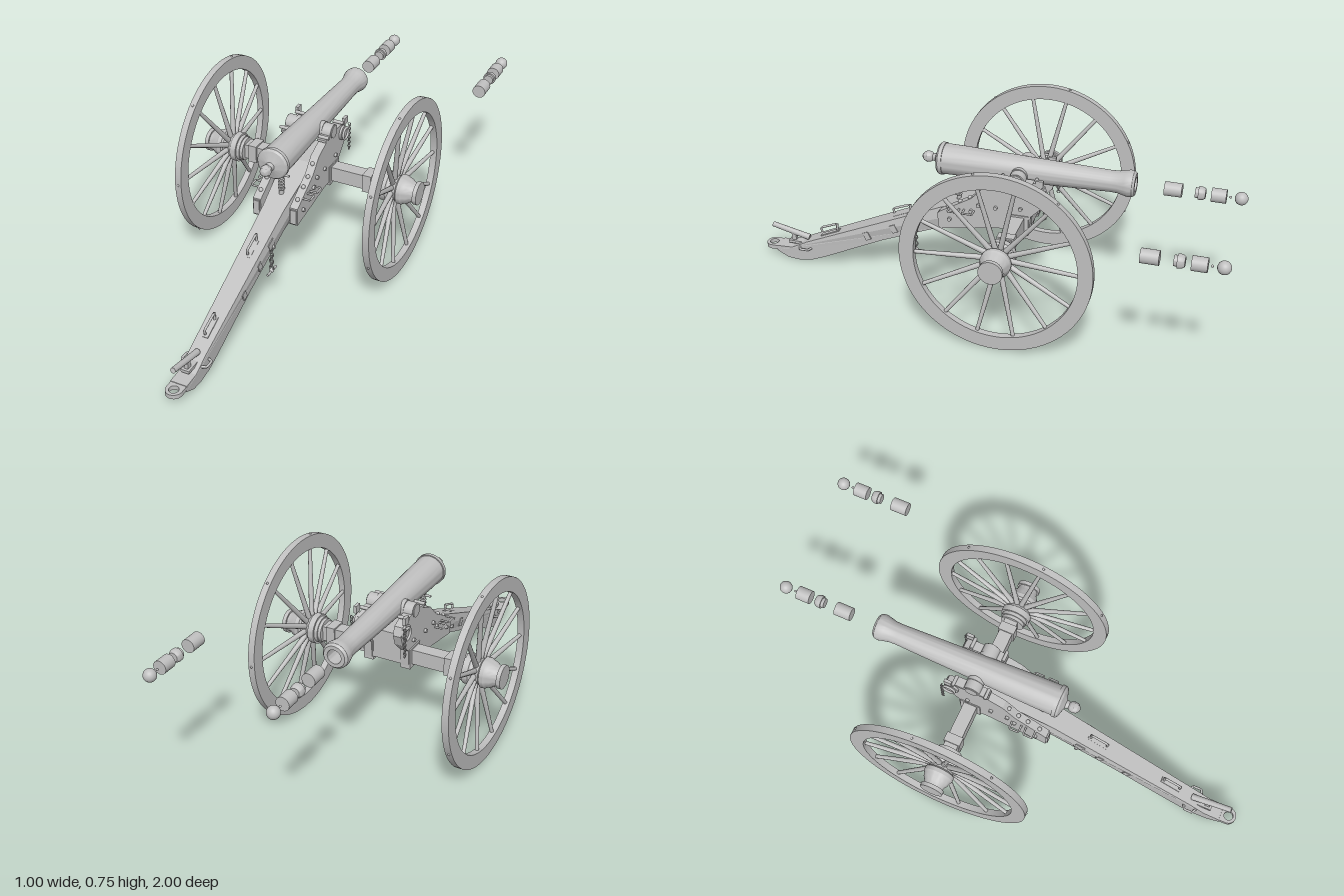
import * as THREE from 'three';
import { toCreasedNormals } from 'three/addons/utils/BufferGeometryUtils.js';

const steel = new THREE.MeshStandardMaterial({ color: 0xc0c0c0 });
steel.name = 'plain grey';
const V = (x, y, z) => new THREE.Vector3(x, y, z);

function add(parent, name, geo, x = 0, y = 0, z = 0) {
  const m = new THREE.Mesh(geo, steel);
  m.name = name;
  m.position.set(x, y, z);
  parent.add(m);
  return m;
}
const box = (w, h, d) => new THREE.BoxGeometry(w, h, d);
const cylX = (r, len, n = 20) => new THREE.CylinderGeometry(r, r, len, n).rotateZ(Math.PI / 2);
const cylZ = (r, len, n = 32) => new THREE.CylinderGeometry(r, r, len, n).rotateX(Math.PI / 2);

// turned part from [radius, position] pairs along the y axis
function turned(pairs, n = 40) {
  const g = new THREE.LatheGeometry(pairs.map(([r, p]) => new THREE.Vector2(r, p)), n);
  return toCreasedNormals(g, 0.5);
}

// tapered round bar between two points
function bar(parent, name, a, b, r0, r1 = r0, n = 10) {
  const m = add(parent, name, new THREE.CylinderGeometry(r1, r0, a.distanceTo(b), n));
  m.position.copy(a).lerp(b, 0.5);
  m.quaternion.setFromUnitVectors(V(0, 1, 0), b.clone().sub(a).normalize());
  return m;
}

// bent round rod through a few points
function rod(parent, name, pts, r) {
  const path = new THREE.CurvePath();
  for (let i = 1; i < pts.length; i++) path.add(new THREE.LineCurve3(V(...pts[i - 1]), V(...pts[i])));
  return add(parent, name, new THREE.TubeGeometry(path, (pts.length - 1) * 6, r, 8));
}

// side outline of [z, y] pairs, given a thickness across x
function slab(outline, width) {
  const s = new THREE.Shape(outline.map(([z, y]) => new THREE.Vector2(z, y)));
  return new THREE.ExtrudeGeometry(s, { depth: width, bevelEnabled: false })
    .translate(0, 0, -width / 2).rotateY(-Math.PI / 2);
}

// chain of alternating links hanging down
function chain(parent, name, x, y, z, count, r) {
  for (let i = 0; i < count; i++) {
    const link = add(parent, name, new THREE.TorusGeometry(r, r * 0.3, 6, 10), x, y - i * r * 1.7, z);
    link.rotation.y = (i % 2) * Math.PI / 2;
  }
}

// dished wheel with its hub; the outer end points along +x
function wheel() {
  const g = new THREE.Group();
  g.name = 'wheel';
  const rim = turned([[0.316, 0.392], [0.373, 0.392], [0.373, 0.419], [0.316, 0.419], [0.316, 0.392]], 80);
  add(g, 'rim', rim.rotateZ(-Math.PI / 2));
  const hub = turned([[0, 0.295], [0.048, 0.295], [0.048, 0.308], [0.053, 0.308], [0.053, 0.322],
    [0.061, 0.322], [0.061, 0.347], [0.056, 0.35], [0.049, 0.362], [0.052, 0.385], [0.06, 0.392],
    [0.06, 0.408], [0.054, 0.418], [0.051, 0.43], [0.042, 0.443], [0.04, 0.457], [0.047, 0.457],
    [0.047, 0.473], [0, 0.473]]);
  add(g, 'hub', hub.rotateZ(-Math.PI / 2));
  const N = 14;
  for (let i = 0; i < N; i++) {
    const a = (i / N) * Math.PI * 2, c = Math.cos(a), s = Math.sin(a);
    bar(g, 'spoke', V(0.368, s * 0.045, c * 0.045), V(0.402, s * 0.32, c * 0.32), 0.011, 0.0075);
    if (i % 2) add(g, 'rimBolt', new THREE.SphereGeometry(0.005, 8, 6), 0.406, s * 0.373, c * 0.373);
  }
  return g;
}

// one cheek of the carriage with its fittings, s = side
function cheek(g, s) {
  const outline = [[0.185, 0.31], [0.185, 0.385], [0.05, 0.465], [0.0, 0.52], [-0.07, 0.55], [-0.2, 0.56],
    [-0.238, 0.545], [-0.25, 0.51], [-0.235, 0.465], [-0.19, 0.42], [-0.185, 0.35], [-0.06, 0.35]];
  add(g, 'cheek', slab(outline, 0.034), s * 0.08);
  add(g, 'cheekEndPlate', box(0.026, 0.062, 0.008), s * 0.08, 0.348, 0.187);
  // cap over the trunnion
  const cap = new THREE.Shape();
  cap.moveTo(-0.2, 0.552).lineTo(-0.06, 0.552).lineTo(-0.06, 0.562).lineTo(-0.09, 0.565);
  cap.absarc(-0.13, 0.565, 0.033, 0, Math.PI, false);
  cap.lineTo(-0.2, 0.565);
  const capGeo = new THREE.ExtrudeGeometry(cap, { depth: 0.038, bevelEnabled: false, curveSegments: 10 });
  add(g, 'trunnionCap', capGeo.translate(0, 0, -0.019).rotateY(-Math.PI / 2), s * 0.08);
  for (const z of [-0.205, -0.07]) add(g, 'capBolt', cylX(0.007, 0.045, 10), s * 0.085, 0.57, z);
  add(g, 'capKey', box(0.012, 0.03, 0.03), s * 0.104, 0.573, -0.225);
  // washers and bolts on the outer face
  add(g, 'washer', cylX(0.03, 0.012, 24), s * 0.1, 0.52, -0.215);
  const ring = add(g, 'sideRing', new THREE.TorusGeometry(0.024, 0.005, 8, 24), s * 0.11, 0.515, -0.222);
  ring.rotation.y = Math.PI / 2;
  for (const [z, y] of [[0.14, 0.36], [0.05, 0.41], [0.02, 0.44], [-0.05, 0.44], [-0.15, 0.45]])
    add(g, 'sideBolt', cylX(0.008, 0.014, 10), s * 0.1, y, z);
  for (const [z, y] of [[0.15, 0.406], [0.1, 0.436], [0.06, 0.46], [0.02, 0.497]])
    add(g, 'topBolt', new THREE.SphereGeometry(0.009, 10, 8), s * 0.08, y, z);
  // loop handles
  for (const z of [0.12, 0.06])
    rod(g, 'sideHandle', [[s * 0.095, 0.41, z - 0.02], [s * 0.128, 0.41, z - 0.02],
      [s * 0.128, 0.41, z + 0.02], [s * 0.095, 0.41, z + 0.02]], 0.004);
  chain(g, 'keyChain', s * 0.113, 0.545, -0.25, 12, 0.006);
  // axle strap and sleeve
  add(g, 'axleStrap', box(0.042, 0.085, 0.085), s * 0.08, 0.378, -0.14);
  add(g, 'axleSleeve', box(0.037, 0.076, 0.068), s * 0.257, 0.381, -0.138);
}

// stack of loose rounds in front of the muzzle
function rounds(x) {
  const g = new THREE.Group();
  g.name = 'rounds';
  g.position.set(x, 0.574, 0);
  add(g, 'charge', cylZ(0.027, 0.067), 0, 0, -0.72);
  const plug = turned([[0, -0.842], [0.018, -0.842], [0.024, -0.834], [0.026, -0.825], [0.026, -0.815],
    [0.02, -0.815], [0.02, -0.803], [0, -0.803]], 32);
  add(g, 'plug', plug.rotateX(Math.PI / 2));
  add(g, 'canister', cylZ(0.027, 0.056), 0, 0, -0.892);
  add(g, 'fuse', new THREE.SphereGeometry(0.005, 10, 8), 0, 0, -0.934);
  add(g, 'ball', new THREE.SphereGeometry(0.025, 32, 20), 0, 0, -0.975);
  return g;
}

export function createModel() {
  const root = new THREE.Group();
  root.name = 'fieldCannon';
  const g = new THREE.Group();
  g.name = 'gun';
  g.position.x = -0.03;
  root.add(g);

  // barrel, bored at the muzzle, with a knob at the breech
  const barrel = turned([[0, -0.3], [0.028, -0.3], [0.028, -0.577], [0.043, -0.577], [0.051, -0.568],
    [0.053, -0.552], [0.049, -0.535], [0.043, -0.51], [0.042, -0.48], [0.046, -0.35], [0.05, -0.2],
    [0.055, -0.05], [0.06, 0.1], [0.061, 0.185], [0.065, 0.185], [0.065, 0.2], [0.058, 0.208],
    [0.035, 0.215], [0.018, 0.222], [0.014, 0.235], [0.02, 0.242], [0.023, 0.256], [0.018, 0.27],
    [0.008, 0.278], [0, 0.28]], 48);
  add(g, 'barrel', barrel.rotateX(Math.PI / 2), 0, 0.574);
  add(g, 'trunnions', cylX(0.026, 0.205, 28), 0, 0.568, -0.13);
  add(g, 'trunnionShoulders', cylX(0.034, 0.122, 28), 0, 0.568, -0.13);

  // trail, narrowing toward its tail
  const trail = slab([[0.94, 0.04], [0.935, 0.063], [0.87, 0.066], [0.8, 0.103], [0.2, 0.373], [-0.02, 0.472],
    [-0.18, 0.475], [-0.18, 0.35], [0.04, 0.345], [0.195, 0.283], [0.46, 0.172], [0.72, 0.045], [0.78, 0.02],
    [0.84, 0.01], [0.89, 0.014]], 0.09);
  const p = trail.attributes.position;
  for (let i = 0; i < p.count; i++) {
    const t = THREE.MathUtils.clamp((p.getZ(i) - 0.2) / 0.6, 0, 1);
    p.setX(i, p.getX(i) * (p.getZ(i) < 0.19 ? 1.4 : 1 - 0.24 * t));
  }
  trail.computeVertexNormals();
  add(g, 'trail', trail);

  // towing eye
  const eye = new THREE.Shape().absarc(0.965, 0, 0.033, -Math.PI / 2, Math.PI / 2, false);
  eye.lineTo(0.88, 0.033).lineTo(0.88, -0.033);
  eye.holes.push(new THREE.Path().absarc(0.967, 0, 0.019, 0, Math.PI * 2, true));
  const eyeGeo = new THREE.ExtrudeGeometry(eye, { depth: 0.018, bevelEnabled: false, curveSegments: 20 });
  add(g, 'towingEye', eyeGeo.rotateX(-Math.PI / 2).rotateY(-Math.PI / 2), 0, 0.043, 0);

  // aiming handspike, its mount and the tail rings
  bar(g, 'handspike', V(0, 0.147, 0.965), V(0, 0.108, 0.8), 0.011, 0.013);
  add(g, 'handspikePost', box(0.016, 0.06, 0.02), 0, 0.1, 0.87);
  add(g, 'handspikeFoot', box(0.034, 0.012, 0.1), 0, 0.083, 0.84);
  for (const s of [-1, 1]) {
    rod(g, 'tailRing', [[s * 0.03, 0.075, 0.78], [s * 0.053, 0.075, 0.79],
      [s * 0.053, 0.075, 0.825], [s * 0.03, 0.075, 0.835]], 0.005);
    // fittings along the trail sides
    for (const [z, y, w] of [[0.31, 0.285, 0.04], [0.4, 0.24, 0.025], [0.52, 0.185, 0.025]]) {
      const plate = add(g, 'sidePlate', box(0.012, 0.035, w), s * (0.046 - (z - 0.2) * 0.018), y, z);
      plate.rotation.x = 0.42;
    }
    bar(g, 'sideHook', V(s * 0.044, 0.27, 0.3), V(s * 0.058, 0.27, 0.3), 0.007);
  }

  // hooked brackets on top of the trail
  for (const [z, y] of [[0.7, 0.15], [0.37, 0.295]]) {
    rod(g, 'topBracket', [[0, y - 0.02, z - 0.03], [0, y + 0.045, z - 0.03],
      [0, y + 0.015, z + 0.045], [0, y - 0.005, z + 0.04]], 0.005);
    const base = add(g, 'bracketBase', box(0.022, 0.01, 0.09), 0, y - 0.003, z);
    base.rotation.x = 0.42;
  }

  // hanging chain with a crossbar
  chain(g, 'trailChain', 0.045, 0.265, 0.305, 7, 0.009);
  bar(g, 'chainBar', V(0.045, 0.157, 0.27), V(0.045, 0.157, 0.34), 0.005);
  add(g, 'chainPin', new THREE.SphereGeometry(0.01, 10, 8), 0.045, 0.16, 0.305);

  // elevating screw
  bar(g, 'elevatingScrew', V(0, 0.38, 0.13), V(0, 0.53, 0.13), 0.01);
  for (let i = 0; i < 6; i++) {
    const thread = add(g, 'screwThread', new THREE.TorusGeometry(0.01, 0.004, 6, 14), 0, 0.425 + i * 0.014, 0.13);
    thread.rotation.x = Math.PI / 2;
  }
  bar(g, 'screwHandle', V(-0.035, 0.488, 0.13), V(0.035, 0.488, 0.13), 0.005);

  // axle
  add(g, 'axle', box(0.6, 0.062, 0.055), 0, 0.382, -0.138);

  for (const s of [-1, 1]) {
    cheek(g, s);
    const w = wheel();
    w.position.set(0, 0.381, -0.136);
    w.rotation.y = s > 0 ? 0 : Math.PI;
    g.add(w);
  }

  root.add(rounds(-0.03), rounds(0.473));
  return root;
}
